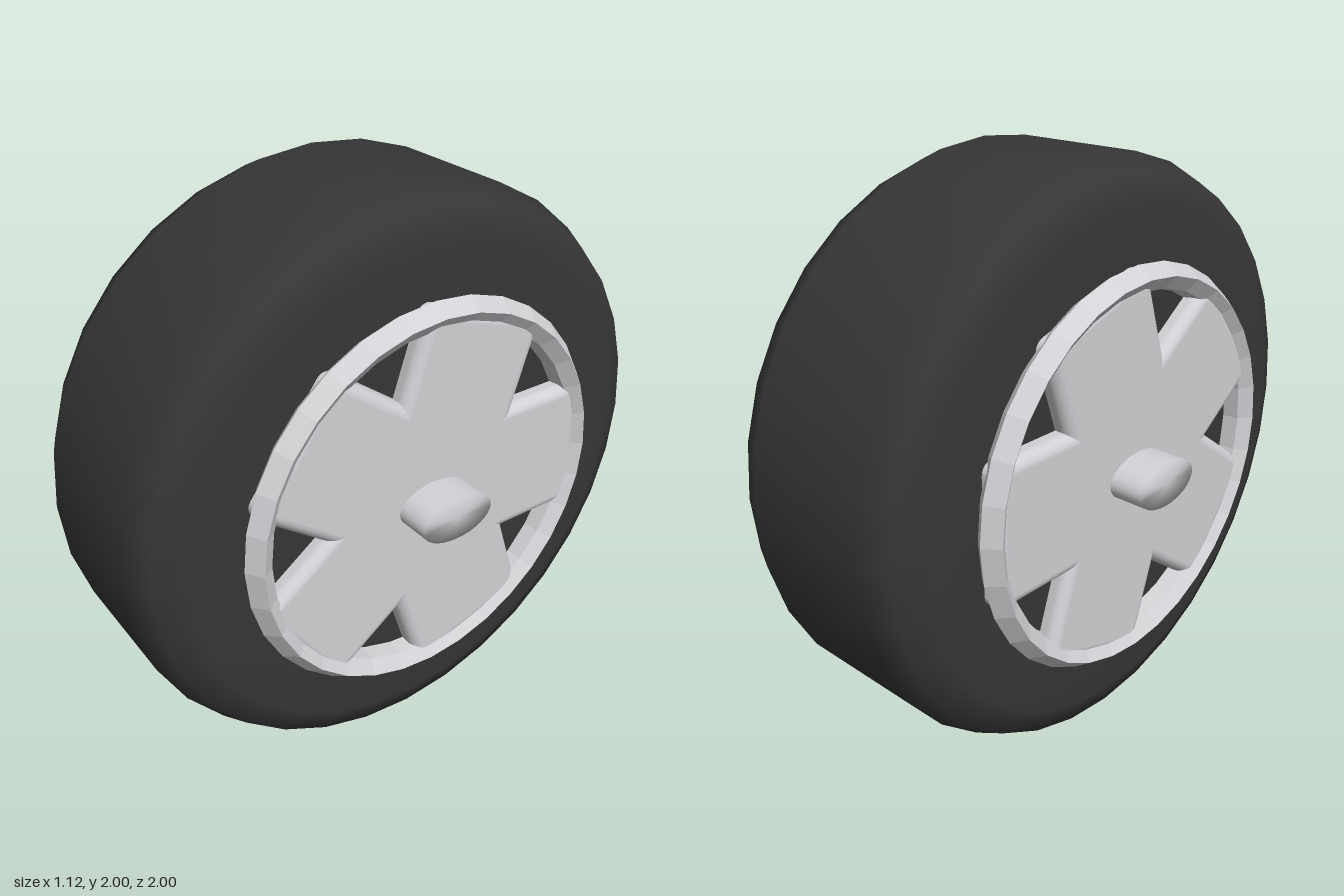
import * as THREE from 'three';
import { RoundedBoxGeometry } from 'three/addons/geometries/RoundedBoxGeometry.js';

const rubber = new THREE.MeshStandardMaterial({ color: 0x363636 });
rubber.name = 'darkRubber';
const metal = new THREE.MeshStandardMaterial({ color: 0xd0d1d4 });
metal.name = 'paleMetal';

const SEGMENTS = 32;

// Revolves [axial, radius] points around the x axis; side -1 flips the part over.
function revolve(name, profile, material, side = 1) {
  const points = profile.map(([x, r]) => new THREE.Vector2(r, x));
  const geometry = new THREE.LatheGeometry(points, SEGMENTS);
  geometry.rotateZ(-side * Math.PI / 2);
  const mesh = new THREE.Mesh(geometry, material);
  mesh.name = name;
  return mesh;
}

export function createModel() {
  const wheel = new THREE.Group();
  wheel.name = 'wheel';
  const centre = new THREE.Group();
  centre.name = 'wheelAssembly';
  centre.position.y = 1;
  wheel.add(centre);

  // Tyre with rounded shoulders and closed sidewalls
  centre.add(revolve('tyre', [
    [-0.375, 0], [-0.375, 0.6], [-0.375, 0.86], [-0.335, 0.955], [-0.235, 1],
    [0.235, 1], [0.335, 0.955], [0.375, 0.86], [0.375, 0.6], [0.375, 0],
  ], rubber));

  // Oval axle through both sides
  const axle = revolve('axle', [[-0.56, 0], [-0.56, 1], [0.56, 1], [0.56, 0]], metal);
  axle.scale.set(1, 0.077, 0.137);
  centre.add(axle);

  // Faceted rims and five broad spokes on each side
  const rimMetal = metal.clone();
  rimMetal.name = 'paleMetalFaceted';
  rimMetal.flatShading = true;
  const spokeGeometry = new RoundedBoxGeometry(0.16, 0.48, 0.63, 3, 0.04);

  for (const side of [1, -1]) {
    centre.add(revolve('rim', [
      [0.34, 0.64], [0.37, 0.658], [0.41, 0.688], [0.465, 0.65], [0.43, 0.605], [0.34, 0.59],
    ], rimMetal, side));

    for (let i = 0; i < 5; i++) {
      const pivot = new THREE.Group();
      pivot.name = 'spokePivot';
      pivot.rotation.x = i * Math.PI * 2 / 5;
      const spoke = new THREE.Mesh(spokeGeometry, metal);
      spoke.name = 'spoke';
      spoke.position.set(side * 0.36, 0, -0.325);
      pivot.add(spoke);
      centre.add(pivot);
    }
  }
  return wheel;
}
